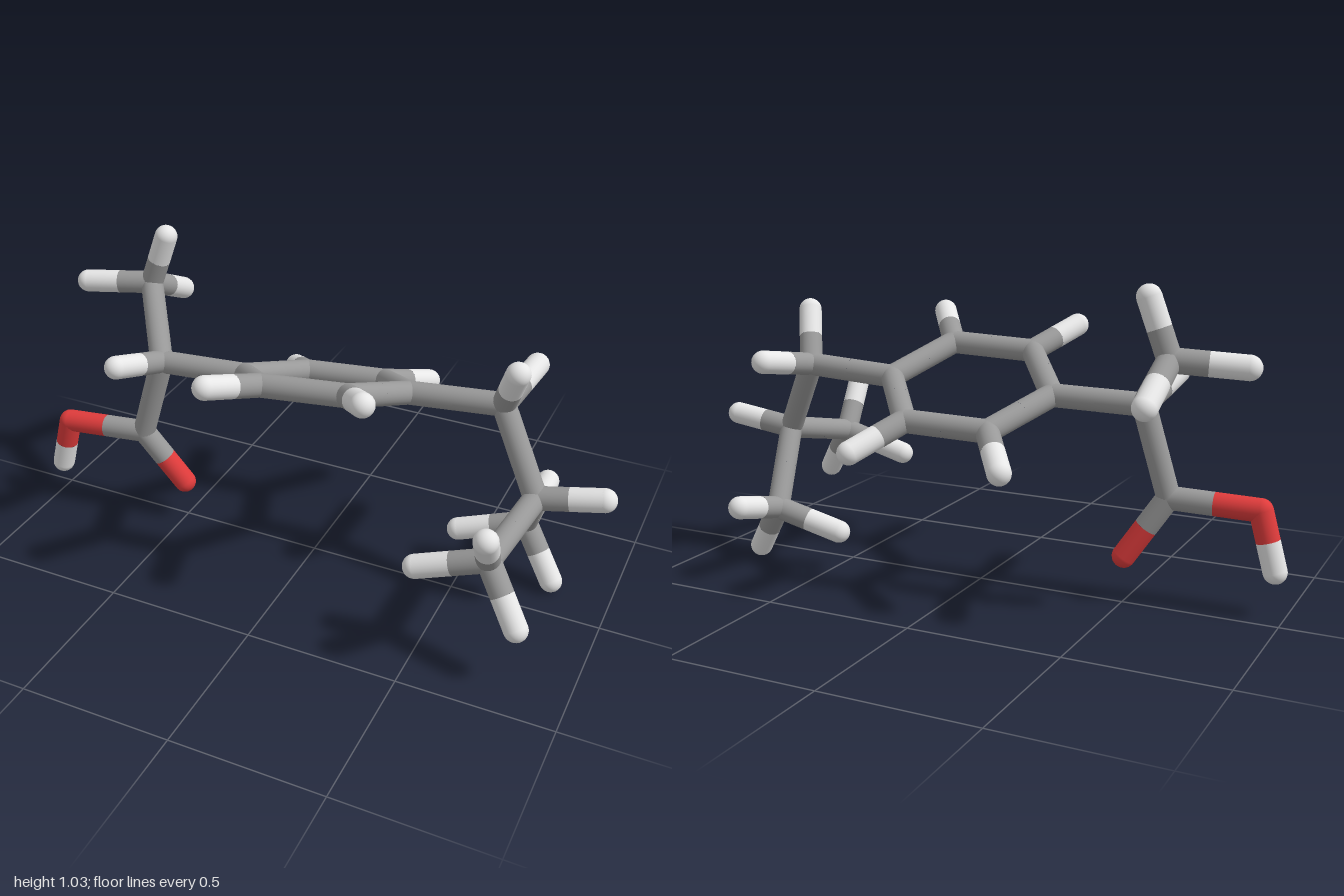
import * as THREE from 'three';

const RADIUS = 0.038;

// Atom centres: element, x, y, z
const ATOMS = {
  // acid group
  acidCarbon: ['C', -0.625, 0.35, 0.055],
  acidOxygen: ['O', -0.91, 0.338, 0.085],
  acidHydrogen: ['H', -0.963, 0.15, 0.08],
  doubleOxygen: ['O', -0.497, 0.153, 0.015],
  // branch carbon with its methyl
  alphaCarbon: ['C', -0.54, 0.64, 0.046],
  alphaHydrogen: ['H', -0.58, 0.712, 0.254],
  leftMethyl: ['C', -0.68, 0.82, -0.148],
  leftMethylH1: ['H', -0.613, 1.0, -0.149],
  leftMethylH2: ['H', -0.9, 0.806, -0.093],
  leftMethylH3: ['H', -0.676, 0.715, -0.345],
  // ring
  ring1: ['C', -0.242, 0.648, 0.02],
  ring2: ['C', -0.13, 0.568, -0.22],
  ring3: ['C', 0.143, 0.58, -0.25],
  ring4: ['C', 0.302, 0.676, -0.05],
  ring5: ['C', 0.195, 0.764, 0.188],
  ring6: ['C', -0.083, 0.75, 0.22],
  ringH2: ['H', -0.245, 0.485, -0.375],
  ringH3: ['H', 0.235, 0.507, -0.433],
  ringH5: ['H', 0.31, 0.846, 0.347],
  ringH6: ['H', -0.168, 0.818, 0.408],
  // link and forked tail
  linkCarbon: ['C', 0.605, 0.697, -0.071],
  linkH1: ['H', 0.668, 0.867, 0.028],
  linkH2: ['H', 0.643, 0.734, -0.292],
  forkCarbon: ['C', 0.754, 0.446, 0.015],
  forkHydrogen: ['H', 0.96, 0.482, -0.01],
  frontMethyl: ['C', 0.7, 0.385, 0.295],
  frontMethylH1: ['H', 0.725, 0.55, 0.428],
  frontMethylH2: ['H', 0.82, 0.218, 0.367],
  frontMethylH3: ['H', 0.482, 0.313, 0.325],
  backMethyl: ['C', 0.686, 0.21, -0.176],
  backMethylH1: ['H', 0.7, 0.257, -0.372],
  backMethylH2: ['H', 0.802, 0.043, -0.121],
  backMethylH3: ['H', 0.468, 0.142, -0.138],
};

// Each entry joins its first atom to all the others
const BONDS = [
  ['acidCarbon', 'acidOxygen', 'doubleOxygen', 'alphaCarbon'],
  ['acidOxygen', 'acidHydrogen'],
  ['alphaCarbon', 'alphaHydrogen', 'leftMethyl', 'ring1'],
  ['leftMethyl', 'leftMethylH1', 'leftMethylH2', 'leftMethylH3'],
  ['ring1', 'ring2', 'ring6'],
  ['ring2', 'ring3', 'ringH2'],
  ['ring3', 'ring4', 'ringH3'],
  ['ring4', 'ring5', 'linkCarbon'],
  ['ring5', 'ring6', 'ringH5'],
  ['ring6', 'ringH6'],
  ['linkCarbon', 'linkH1', 'linkH2', 'forkCarbon'],
  ['forkCarbon', 'forkHydrogen', 'frontMethyl', 'backMethyl'],
  ['frontMethyl', 'frontMethylH1', 'frontMethylH2', 'frontMethylH3'],
  ['backMethyl', 'backMethylH1', 'backMethylH2', 'backMethylH3'],
];

function material(name, color) {
  const m = new THREE.MeshStandardMaterial({ color });
  m.name = name;
  return m;
}

export function createModel() {
  const model = new THREE.Group();
  model.name = 'stickMolecule';

  const materials = {
    C: material('carbonGrey', 0x999999),
    H: material('hydrogenWhite', 0xe6e6e6),
    O: material('oxygenRed', 0xe03c3c),
  };
  const ball = new THREE.SphereGeometry(RADIUS, 24, 16);
  const stick = new THREE.CylinderGeometry(RADIUS, RADIUS, 1, 24, 1, true);
  const up = new THREE.Vector3(0, 1, 0);
  const position = (name) => new THREE.Vector3(...ATOMS[name].slice(1));

  // Rounded joints and tips, one group per atom
  const groups = {};
  for (const [name, [element]] of Object.entries(ATOMS)) {
    const group = new THREE.Group();
    group.name = name;
    group.position.copy(position(name));
    const joint = new THREE.Mesh(ball, materials[element]);
    joint.name = name + 'Joint';
    group.add(joint);
    groups[name] = group;
    model.add(group);
  }

  // Half stick from an atom to the middle of its bond, in that atom's colour
  function addHalfBond(from, to) {
    const half = position(to).sub(position(from)).multiplyScalar(0.5);
    const mesh = new THREE.Mesh(stick, materials[ATOMS[from][0]]);
    mesh.name = from + 'Stick';
    mesh.scale.y = half.length();
    mesh.position.copy(half).multiplyScalar(0.5);
    mesh.quaternion.setFromUnitVectors(up, half.normalize());
    groups[from].add(mesh);
  }

  for (const [from, ...others] of BONDS) {
    for (const to of others) {
      addHalfBond(from, to);
      addHalfBond(to, from);
    }
  }
  return model;
}
